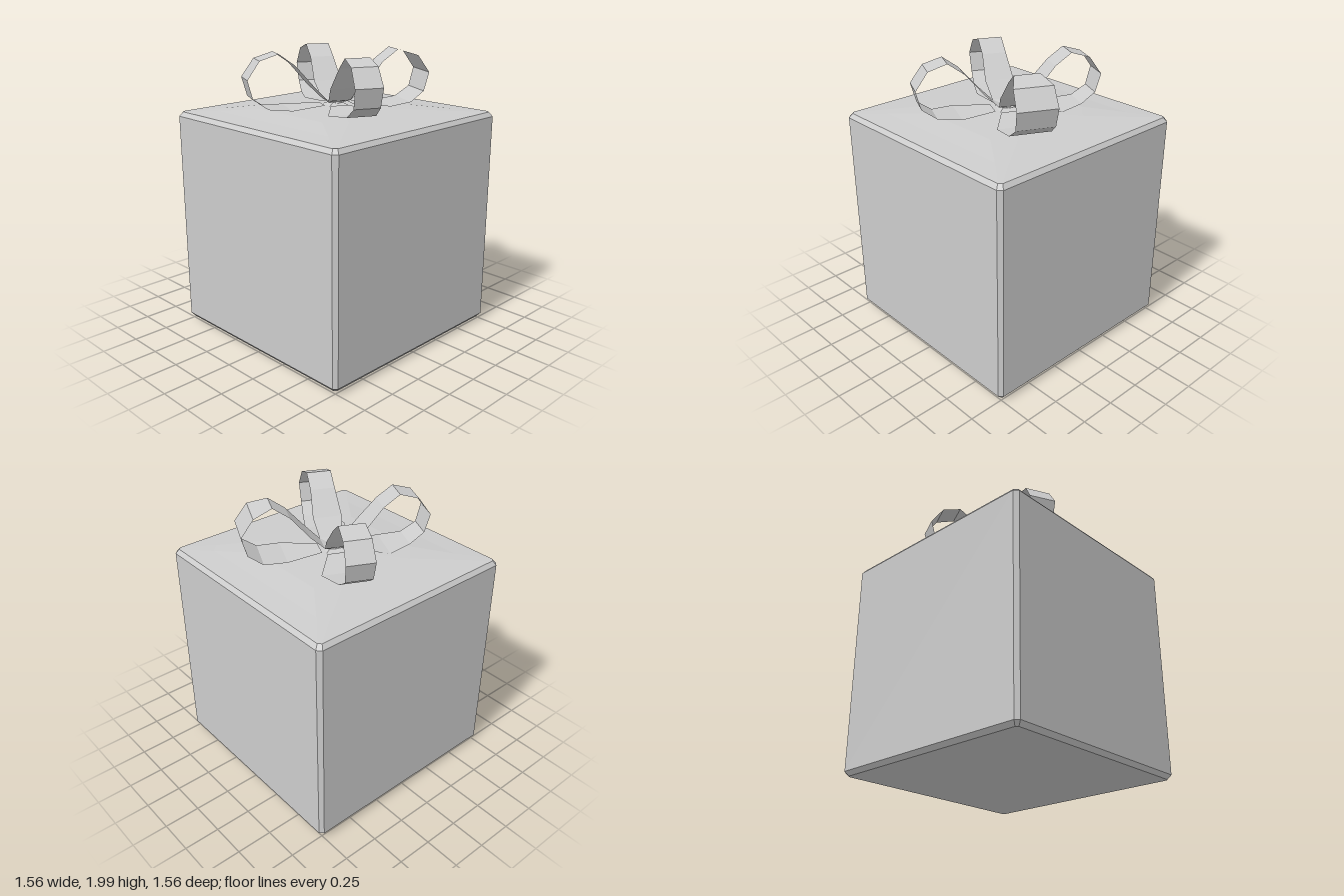
import * as THREE from 'three';

// Flat-shaded mesh from a grid of point rows, each row joined to the next
function loft(rows, closed, material, name) {
  const n = rows[0].length;
  const index = [];
  for (let i = 0; i < rows.length - 1; i++) {
    for (let j = 0; j < (closed ? n : n - 1); j++) {
      const k = (j + 1) % n;
      const a = i * n + j, b = i * n + k, c = a + n, d = b + n;
      const atBottomPole = closed && i === 0, atTopPole = closed && i === rows.length - 2;
      if (!atBottomPole) index.push(a, b, d);
      if (!atTopPole) index.push(a, d, c);
    }
  }
  const geometry = new THREE.BufferGeometry();
  geometry.setAttribute('position', new THREE.Float32BufferAttribute(rows.flat(2), 3));
  geometry.setIndex(index);
  const flat = geometry.toNonIndexed();
  flat.computeVertexNormals();
  const mesh = new THREE.Mesh(flat, material);
  mesh.name = name;
  return mesh;
}

// Square ring with cut corners, counterclockwise seen from above
function squareRing([half, cut, y]) {
  const ring = [];
  for (let q = 0; q < 4; q++) {
    const a = q * Math.PI / 2;
    for (const [x, z] of [[half - cut, half], [half, half - cut]]) {
      ring.push([x * Math.cos(a) + z * Math.sin(a), y, z * Math.cos(a) - x * Math.sin(a)]);
    }
  }
  return ring;
}

export function createModel() {
  const grey = new THREE.MeshStandardMaterial({ color: 0xcccccc, flatShading: true, side: THREE.DoubleSide });
  grey.name = 'wrapping grey';
  const model = new THREE.Group();
  model.name = 'giftBox';

  // Box with worn edges, slightly bulging base and mounded top: half width, corner cut, height
  const boxProfile = [
    [0, 0, 0.005], [0.4, 0.02, 0.01], [0.75, 0.015, 0.02], [0.775, 0.025, 0.05],
    [0.778, 0.028, 1.54], [0.755, 0.02, 1.57], [0.6, 0.06, 1.583],
    [0.42, 0.12, 1.603], [0.2, 0.08, 1.615], [0, 0, 1.625],
  ];
  model.add(loft(boxProfile.map(squareRing), true, grey, 'box'));

  // Ribbon loop: distance from centre, height, left edge, right edge
  const loopProfile = [
    [0.0, 1.635, 0.05, -0.05], [0.08, 1.66, 0.08, -0.08], [0.18, 1.76, 0.1, -0.1],
    [0.31, 1.91, 0.085, -0.085], [0.42, 1.99, 0.085, -0.085], [0.55, 1.95, 0.09, -0.09],
    [0.635, 1.83, 0.095, -0.095], [0.6, 1.70, 0.09, -0.09], [0.5, 1.63, 0.1, -0.1],
    [0.34, 1.615, 0.17, -0.12], [0.1, 1.63, 0.07, -0.07],
  ];
  // Extra width at the tip of each loop, so the bow is not quite regular
  const tipFlare = [0, 0.04, 0, 0];
  const bow = new THREE.Group();
  bow.name = 'bow';
  tipFlare.forEach((flare, i) => {
    const rows = loopProfile.map(([r, y, left, right], k) => {
      const extra = k > 4 && k < 9 ? flare : 0;
      return [[r, y, left + extra], [r, y, right - extra]];
    });
    const loop = loft(rows, false, grey, 'ribbonLoop' + (i + 1));
    loop.rotation.y = THREE.MathUtils.degToRad(-26 + 90 * i);
    bow.add(loop);
  });

  // Small gathered centre of the bow
  const knot = new THREE.Mesh(new THREE.ConeGeometry(0.1, 0.04, 4), grey);
  knot.name = 'knot';
  knot.position.y = 1.64;
  knot.rotation.y = 0.35;
  bow.add(knot);
  model.add(bow);

  return model;
}
